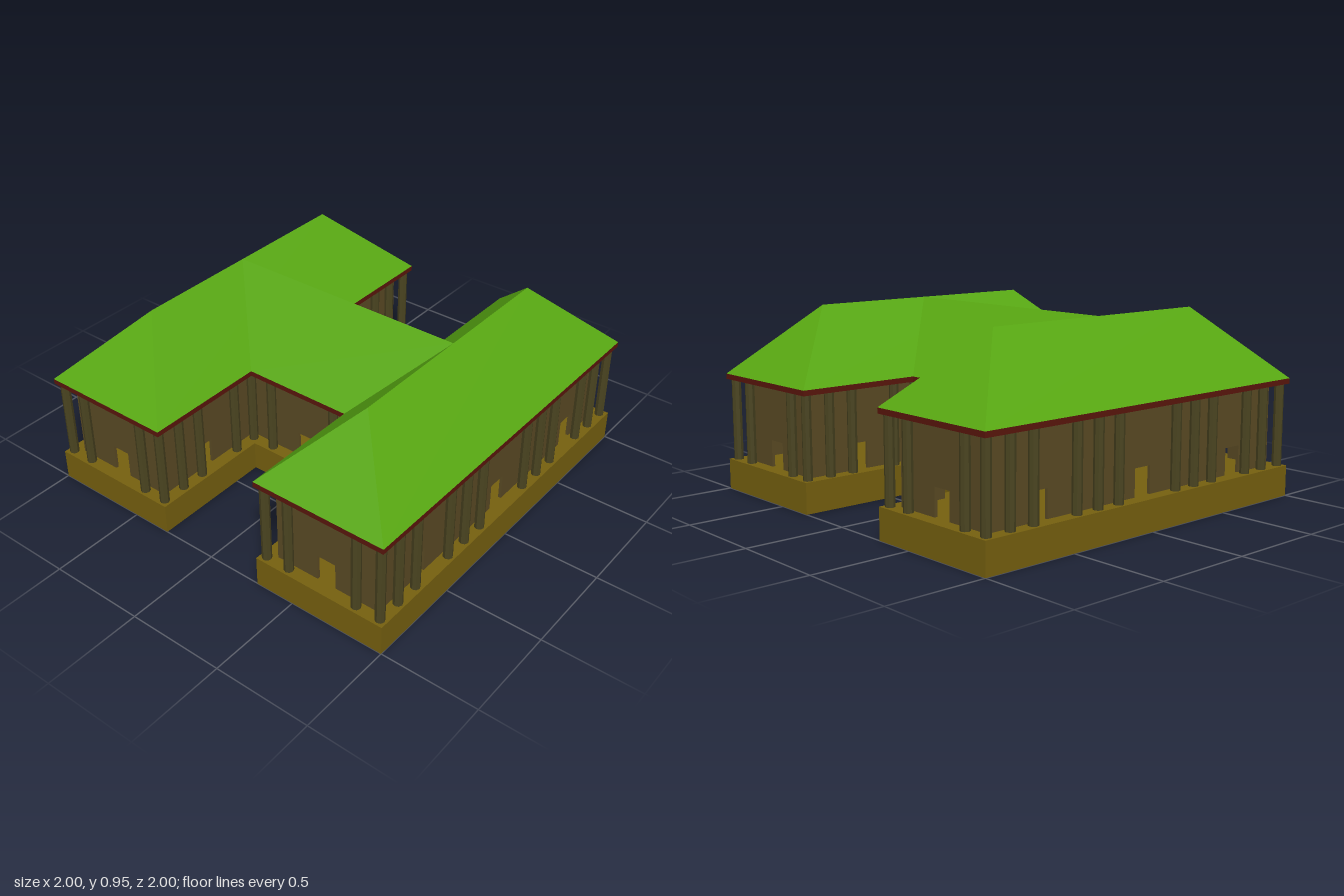
import * as THREE from 'three';

const HALF = 0.355;            // half width of every wing
const BAR_Z = 1 - HALF;        // centre line of the front and back wings
const FLOOR = 0.155, EAVE = 0.57, ROOF = 0.597, RIDGE = 0.95;
const WALL_INSET = 0.075, COL_INSET = 0.035, COL_R = 0.024, STEP = 0.13;
const DOOR_W = 0.1, DOOR_H = 0.135, WALL_T = 0.015;

const mat = (color) => new THREE.MeshStandardMaterial({ color, flatShading: true, side: THREE.DoubleSide });

function add(parent, name, geometry, material) {
  const mesh = new THREE.Mesh(geometry, material);
  mesh.name = name;
  parent.add(mesh);
  return mesh;
}

// Corners [x, z] of the I-shaped plan, moved inward by an inset
function plan(inset) {
  const a = 1 - inset, b = 1 - 2 * HALF + inset, c = HALF - inset;
  const quarter = [[a, a], [a, b], [c, b]];
  const right = [...quarter, ...quarter.map(([x, z]) => [x, -z]).reverse()];
  return [...right, ...right.map(([x, z]) => [-x, -z])];
}

// Flat slab with the I-shaped plan
function slab(y0, y1) {
  const shape = new THREE.Shape(plan(0).map(([x, z]) => new THREE.Vector2(x, -z)));
  const geo = new THREE.ExtrudeGeometry(shape, { depth: y1 - y0, bevelEnabled: false });
  return geo.rotateX(-Math.PI / 2).translate(0, y0, 0);
}

// Upright wall between two plan points, with doorways at distances from its middle
function wall(p, q, doors) {
  const len = Math.hypot(q[0] - p[0], q[1] - p[1]);
  const h = EAVE - FLOOR;
  const s = new THREE.Shape();
  s.moveTo(-len / 2, 0);
  for (const d of doors) {
    s.lineTo(d - DOOR_W / 2, 0);
    s.lineTo(d - DOOR_W / 2, DOOR_H);
    s.lineTo(d + DOOR_W / 2, DOOR_H);
    s.lineTo(d + DOOR_W / 2, 0);
  }
  s.lineTo(len / 2, 0);
  s.lineTo(len / 2, h);
  s.lineTo(-len / 2, h);
  const geo = new THREE.ExtrudeGeometry(s, { depth: WALL_T, bevelEnabled: false });
  geo.translate(0, 0, -WALL_T / 2);
  geo.rotateY(-Math.atan2(q[1] - p[1], q[0] - p[0]));
  return geo.translate((p[0] + q[0]) / 2, FLOOR, (p[1] + q[1]) / 2);
}

// Roof planes given as corner loops
function planes(loops) {
  const pos = [];
  for (const l of loops) {
    for (let i = 1; i < l.length - 1; i++) pos.push(...l[0], ...l[i], ...l[i + 1]);
  }
  const geo = new THREE.BufferGeometry();
  geo.setAttribute('position', new THREE.Float32BufferAttribute(pos, 3));
  geo.computeVertexNormals();
  return geo;
}

function hipRoof() {
  const A = [-1, ROOF, HALF], B = [1, ROOF, HALF], C = [1, ROOF, -HALF], D = [-1, ROOF, -HALF];
  const L = [-BAR_Z, RIDGE, 0], R = [BAR_Z, RIDGE, 0];
  return planes([[A, B, R, L], [B, C, R], [C, D, L, R], [D, A, L]]);
}

// Link roof: two slopes that end in the valleys of the wings
function linkRoof() {
  const e = BAR_Z - HALF;
  const F = [0, RIDGE, BAR_Z], K = [0, RIDGE, -BAR_Z];
  return planes([
    [[HALF, ROOF, e], [HALF, ROOF, -e], K, F],
    [[-HALF, ROOF, -e], [-HALF, ROOF, e], F, K],
  ]);
}

export function createModel() {
  const model = new THREE.Group();
  model.name = 'courtyardHall';
  const stone = mat(0x76600f), wallMat = mat(0x5a4a24), columnMat = mat(0x4a4420);
  const trim = mat(0x5a160c), tile = mat(0x58a812);

  add(model, 'plinth', slab(0, FLOOR), stone);
  add(model, 'eaves', slab(EAVE, ROOF), trim);

  // Walls around the plan, doorways placed by wall length
  const walls = new THREE.Group();
  walls.name = 'walls';
  model.add(walls);
  const pts = plan(WALL_INSET);
  pts.forEach((p, i) => {
    const q = pts[(i + 1) % pts.length];
    const alongX = Math.abs(q[0] - p[0]) > Math.abs(q[1] - p[1]);
    const len = Math.hypot(q[0] - p[0], q[1] - p[1]);
    let doors = [0];
    if (alongX && len > 1.5) doors = [-BAR_Z, 0, BAR_Z];
    else if (alongX) {
      // short courtyard wall: doorway in line with those of the long wall
      const mid = (p[0] + q[0]) / 2;
      doors = [(Math.sign(mid) * BAR_Z - mid) * Math.sign(q[0] - p[0])];
    }
    add(walls, 'wall', wall(p, q, doors), wallMat);
  });

  // Columns: one quarter of the plan, mirrored in x and z
  const columns = new THREE.Group();
  columns.name = 'columns';
  model.add(columns);
  const out = 1 - COL_INSET, inner = 1 - 2 * HALF + COL_INSET, c = HALF - COL_INSET;
  const spots = [];
  for (const x of [out, out - STEP, out - 2 * STEP, c + STEP, c, c - STEP]) spots.push([x, out]);
  for (const x of [out, out - STEP, out - 2 * STEP, c + STEP, c]) spots.push([x, inner]);
  spots.push([out, out - STEP], [out, inner + STEP], [c, inner - STEP]);
  const shaft = new THREE.CylinderGeometry(COL_R, COL_R, EAVE - FLOOR, 8);
  for (const [x, z] of spots) {
    for (const sx of [1, -1]) for (const sz of [1, -1]) {
      add(columns, 'column', shaft, columnMat).position.set(x * sx, (FLOOR + EAVE) / 2, z * sz);
    }
  }

  // Roofs over the two wings and the link between them
  add(model, 'frontRoof', hipRoof(), tile).position.z = BAR_Z;
  add(model, 'backRoof', hipRoof(), tile).position.z = -BAR_Z;
  add(model, 'linkRoof', linkRoof(), tile);
  return model;
}
